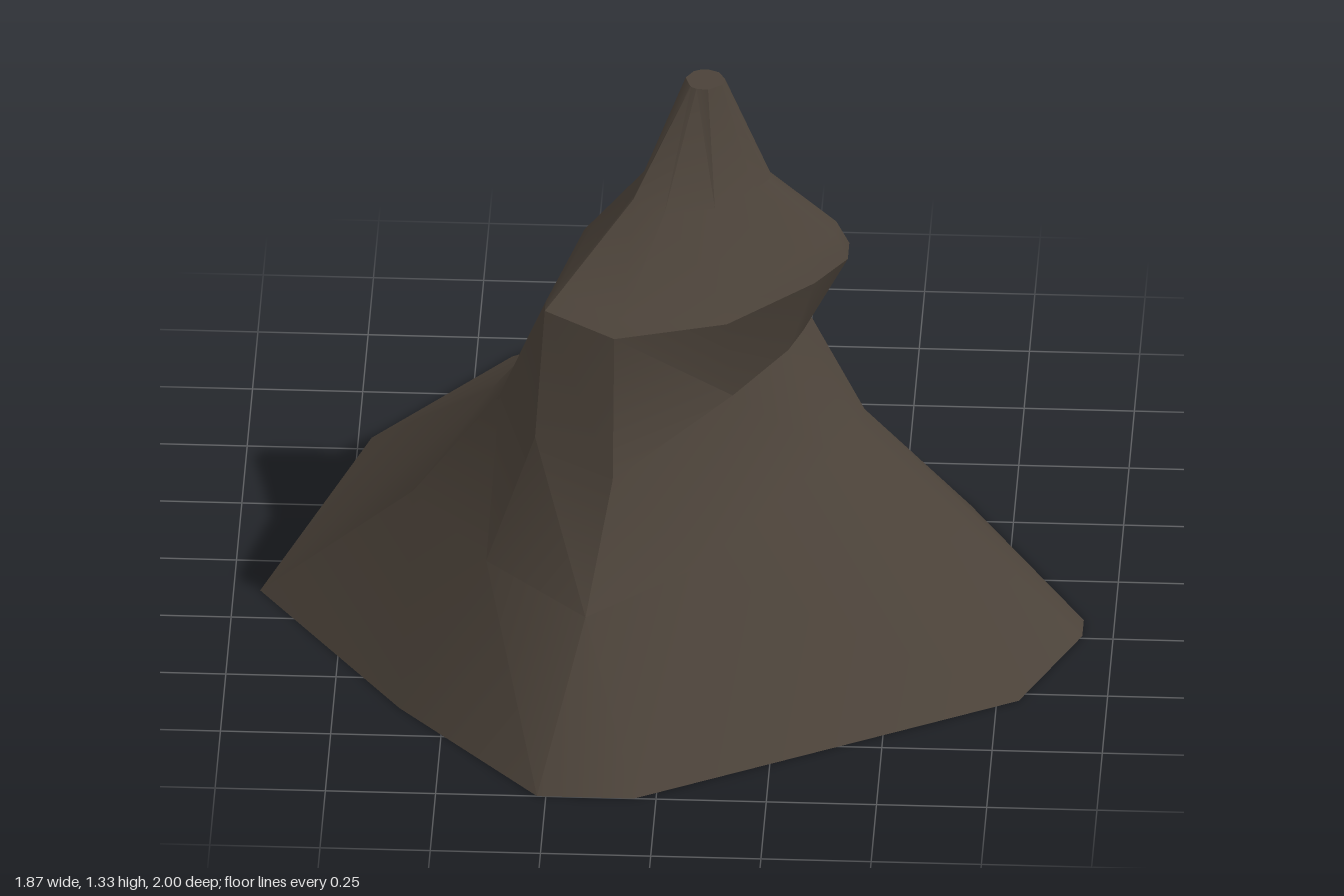
import * as THREE from 'three';
import { toCreasedNormals } from 'three/addons/utils/BufferGeometryUtils.js';

// Ridges around the rock: foot [x, z], neck [x, y, z], brow [x, y, z]
const ridges = [
  [[-0.30, -1.00], [-0.07, 0.65, -0.21], [-0.02, 0.86, -0.26]],
  [[0.23, -0.85], [0.10, 0.66, -0.18], [0.10, 0.86, -0.23]],
  [[0.65, -0.32], [0.21, 0.68, -0.10], [0.25, 0.87, -0.16]],
  [[0.93, 0.17], [0.30, 0.69, 0.00], [0.39, 0.88, 0.00]],
  [[0.93, 0.24], [0.29, 0.69, 0.07], [0.39, 0.88, 0.07]],
  [[0.80, 0.53], [0.26, 0.69, 0.16], [0.32, 0.88, 0.18]],
  [[-0.05, 1.00], [0.14, 0.65, 0.30], [0.13, 0.88, 0.37]],
  [[-0.27, 1.00], [-0.12, 0.57, 0.55], [-0.12, 0.90, 0.48]],
  [[-0.60, 0.63], [-0.30, 0.63, 0.47], [-0.28, 0.94, 0.43]],
  [[-0.94, 0.13], [-0.39, 0.62, 0.27], [-0.28, 0.94, 0.39]],
  [[-0.72, -0.55], [-0.27, 0.64, -0.03], [-0.21, 0.90, 0.00]],
  [[-0.42, -0.92], [-0.15, 0.65, -0.14], [-0.10, 0.87, -0.17]],
];
const TIP = new THREE.Vector3(0.065, 1.33, 0.045);

// Point between a and b, with separate fractions across and up
function between(a, b, across, up) {
  const p = a.clone().lerp(b, across);
  p.y = THREE.MathUtils.lerp(a.y, b.y, up);
  return p;
}

// Full climb of one ridge, from the ground to the blunt tip
function ridgeColumn([[footX, footZ], neckPoint, browPoint], i) {
  const foot = new THREE.Vector3(footX, 0, footZ);
  const neck = new THREE.Vector3(...neckPoint);
  const brow = new THREE.Vector3(...browPoint);
  // The front-left flank is steeper; the others sag inward and overhang at the brow
  const steep = i >= 6 && i <= 10;
  const slope = steep ? between(foot, neck, 0.64, 0.53) : between(foot, neck, 0.8, 0.67);
  const browTop = between(brow, TIP, 0.09, steep ? 0.07 : 0.13);
  const shoulder = between(brow, TIP, 0.55, 0.44);
  const rim = brow.clone().sub(TIP).setY(0).setLength(0.045).add(TIP);
  return [foot, slope, neck, brow, browTop, shoulder, rim];
}

function buildRock() {
  const columns = ridges.map(ridgeColumn);
  const n = columns.length;
  const rows = columns[0].length;
  const points = [...columns.flat(), TIP];

  // Skin neighbouring ridges and close the tip; the underside stays open
  const index = [];
  for (let i = 0; i < n; i++) {
    const a = i * rows, b = ((i + 1) % n) * rows;
    for (let j = 0; j < rows - 1; j++) {
      index.push(a + j, a + j + 1, b + j + 1, a + j, b + j + 1, b + j);
    }
    index.push(a + rows - 1, n * rows, b + rows - 1);
  }
  const geometry = new THREE.BufferGeometry().setFromPoints(points);
  geometry.setIndex(index);
  return toCreasedNormals(geometry, 0.6);
}

export function createModel() {
  const group = new THREE.Group();
  group.name = 'rockSpire';
  const stone = new THREE.MeshStandardMaterial({ color: 0x4b4239, side: THREE.DoubleSide });
  stone.name = 'darkStone';
  const rock = new THREE.Mesh(buildRock(), stone);
  rock.name = 'rock';
  group.add(rock);
  return group;
}
